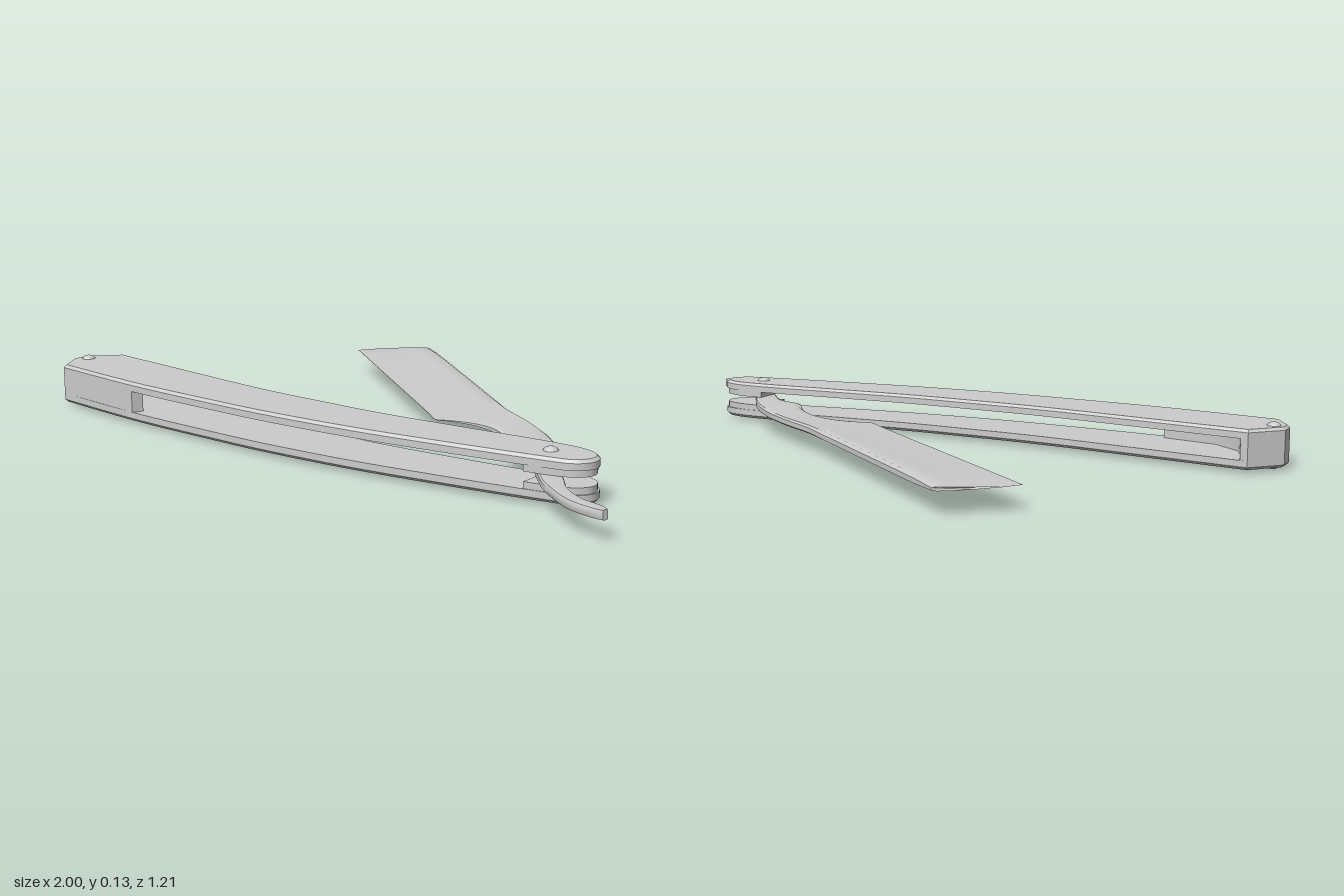
import * as THREE from 'three';
import { toCreasedNormals } from 'three/addons/utils/BufferGeometryUtils.js';

const MID = 0.068; // height of the middle plane
const material = new THREE.MeshStandardMaterial({ color: 0xcccccc });

function add(parent, name, geometry) {
  const mesh = new THREE.Mesh(geometry, material);
  mesh.name = name;
  parent.add(mesh);
  return mesh;
}

// Slab from a plan shape (x, z), growing from y0 away from the middle; only its outer rim is bevelled
function slab(makeShape, y0, height, dir, bevel = 0) {
  const g = new THREE.ExtrudeGeometry(makeShape(-dir), {
    depth: height - bevel, curveSegments: 4, bevelEnabled: bevel > 0,
    bevelThickness: bevel, bevelSize: bevel, bevelOffset: -bevel, bevelSegments: 1,
  });
  const p = g.attributes.position;
  for (let i = 0; i < p.count; i++) p.setZ(i, Math.max(0, p.getZ(i)));
  g.rotateX(-dir * Math.PI / 2);
  g.translate(0, y0, 0);
  return toCreasedNormals(g, 0.5);
}

const vecs = (pts, s) => pts.map(([x, z]) => new THREE.Vector2(x, z * s));

// Handle outline: angular butt on the left, long curve round the pivot end
const rim = [[-0.56, 0.278], [-0.27, 0.313], [0, 0.326], [0.19, 0.329], [0.457, 0.316], [0.62, 0.306],
  [0.75, 0.307], [0.82, 0.332], [0.84, 0.38], [0.81, 0.425], [0.735, 0.444], [0.457, 0.48],
  [0.19, 0.506], [-0.08, 0.515], [-0.29, 0.509], [-0.61, 0.49], [-0.95, 0.446]];
function handleShape(s) {
  const shape = new THREE.Shape();
  shape.moveTo(-0.922, 0.232 * s);
  shape.splineThru(vecs(rim, s));
  shape.lineTo(-1, 0.364 * s);
  shape.lineTo(-1, 0.318 * s);
  return shape;
}

// Inner bolster filling the gap between handle plate and tang
function bolsterShape(s) {
  const shape = new THREE.Shape();
  shape.moveTo(0.68, 0.308 * s);
  shape.splineThru(vecs([[0.75, 0.31], [0.815, 0.334], [0.836, 0.38], [0.806, 0.422], [0.735, 0.441], [0.68, 0.449]], s));
  return shape;
}

// Wedge spacer at the butt, longest along the front edge
function spacerShape(s) {
  return new THREE.Shape(vecs([[-1, 0.318], [-0.922, 0.232], [-0.9, 0.236], [-0.86, 0.36], [-0.77, 0.43],
    [-0.605, 0.46], [-0.62, 0.489], [-0.95, 0.446], [-1, 0.364]], s));
}

// Blade stations: spine x, z, edge x, z, and how strongly the section is ground to a wedge
const stations = [
  [-0.39, -0.605, -0.565, -0.455, 1], [-0.1, -0.371, -0.25, -0.208, 1], [0.15, -0.169, 0.13, 0.09, 1],
  [0.19, -0.137, 0.179, 0.13, 1], [0.22, -0.112, 0.215, 0.122, 0.9], [0.297, -0.05, 0.297, 0.112, 0.6],
  [0.4, 0.016, 0.388, 0.14, 0.3], [0.49, 0.08, 0.468, 0.21, 0.1], [0.537, 0.118, 0.52, 0.283, 0],
  [0.6, 0.18, 0.6, 0.31, 0], [0.66, 0.25, 0.65, 0.36, 0], [0.72, 0.34, 0.69, 0.41, 0],
  [0.76, 0.4, 0.725, 0.45, 0], [0.794, 0.444, 0.76, 0.488, 0], [0.842, 0.503, 0.805, 0.524, 0],
  [0.91, 0.55, 0.885, 0.578, 0], [0.98, 0.572, 0.965, 0.602, 0], [1, 0.588, 0.995, 0.602, 0],
];

function bladeGeometry() {
  const spine = new THREE.CatmullRomCurve3(stations.map(s => new THREE.Vector3(s[0], s[4], s[1])));
  const edge = new THREE.CatmullRomCurve3(stations.map(s => new THREE.Vector3(s[2], s[4], s[3])));
  // Across the section: fraction from spine to edge, ground half-thickness, tang half-thickness
  const section = [[0, 0.007, 0.007], [0.05, 0.0125, 0.0115], [0.2, 0.0105, 0.0125], [0.45, 0.006, 0.0125],
    [0.75, 0.003, 0.0125], [0.93, 0.0015, 0.0115], [1, 0.0006, 0.007]];
  const n = (stations.length - 1) * 4, ring = section.length * 2;
  const pos = [], index = [];
  for (let i = 0; i <= n; i++) {
    const a = spine.getPoint(i / n), b = edge.getPoint(i / n);
    const w = THREE.MathUtils.clamp(a.y, 0, 1);
    const thin = Math.min(1, 0.45 + i * 0.45);
    for (let j = 0; j < ring; j++) {
      const top = j < section.length;
      const [t, ground, tang] = section[top ? j : ring - 1 - j];
      const h = THREE.MathUtils.lerp(tang, ground, w) * thin;
      const bulge = i === 0 ? 0.016 * Math.sin(Math.PI * t) : 0; // rounded toe
      pos.push(a.x + (b.x - a.x) * t - bulge * 0.79, MID + (top ? h : -h), a.z + (b.z - a.z) * t - bulge * 0.61);
    }
  }
  for (let i = 0; i < n; i++) {
    for (let j = 0; j < ring; j++) {
      const k = (j + 1) % ring, p = i * ring, q = p + ring;
      index.push(p + j, p + k, q + j, p + k, q + k, q + j);
    }
  }
  for (let j = 1; j < ring - 1; j++) { // end caps
    index.push(0, j + 1, j, n * ring, n * ring + j, n * ring + j + 1);
  }
  const g = new THREE.BufferGeometry();
  g.setAttribute('position', new THREE.Float32BufferAttribute(pos, 3));
  g.setIndex(index);
  return toCreasedNormals(g, 0.6);
}

// Pin with a domed head at each end
function rivet(name, x, z) {
  const group = new THREE.Group();
  group.name = name;
  group.position.set(x, MID, z);
  add(group, 'pin', new THREE.CylinderGeometry(0.012, 0.012, 0.11, 16));
  for (const d of [1, -1]) {
    const head = add(group, 'rivetHead', new THREE.SphereGeometry(0.02, 20, 12));
    head.scale.y = 0.65;
    head.position.y = d * 0.053;
  }
  return group;
}

export function createModel() {
  const model = new THREE.Group();
  model.name = 'straightRazor';

  const handle = new THREE.Group();
  handle.name = 'handle';
  for (const [dir, side] of [[1, 'upper'], [-1, 'lower']]) {
    add(handle, side + 'Scale', slab(handleShape, MID + dir * 0.03, 0.026, dir, 0.008));
    add(handle, side + 'Bolster', slab(bolsterShape, MID + dir * 0.0126, 0.018, dir));
  }
  add(handle, 'spacer', slab(spacerShape, MID - 0.03, 0.06, 1));
  handle.add(rivet('buttRivet', -0.962, 0.337), rivet('pivotRivet', 0.713, 0.38));

  add(model, 'blade', bladeGeometry());
  model.add(handle);
  return model;
}
